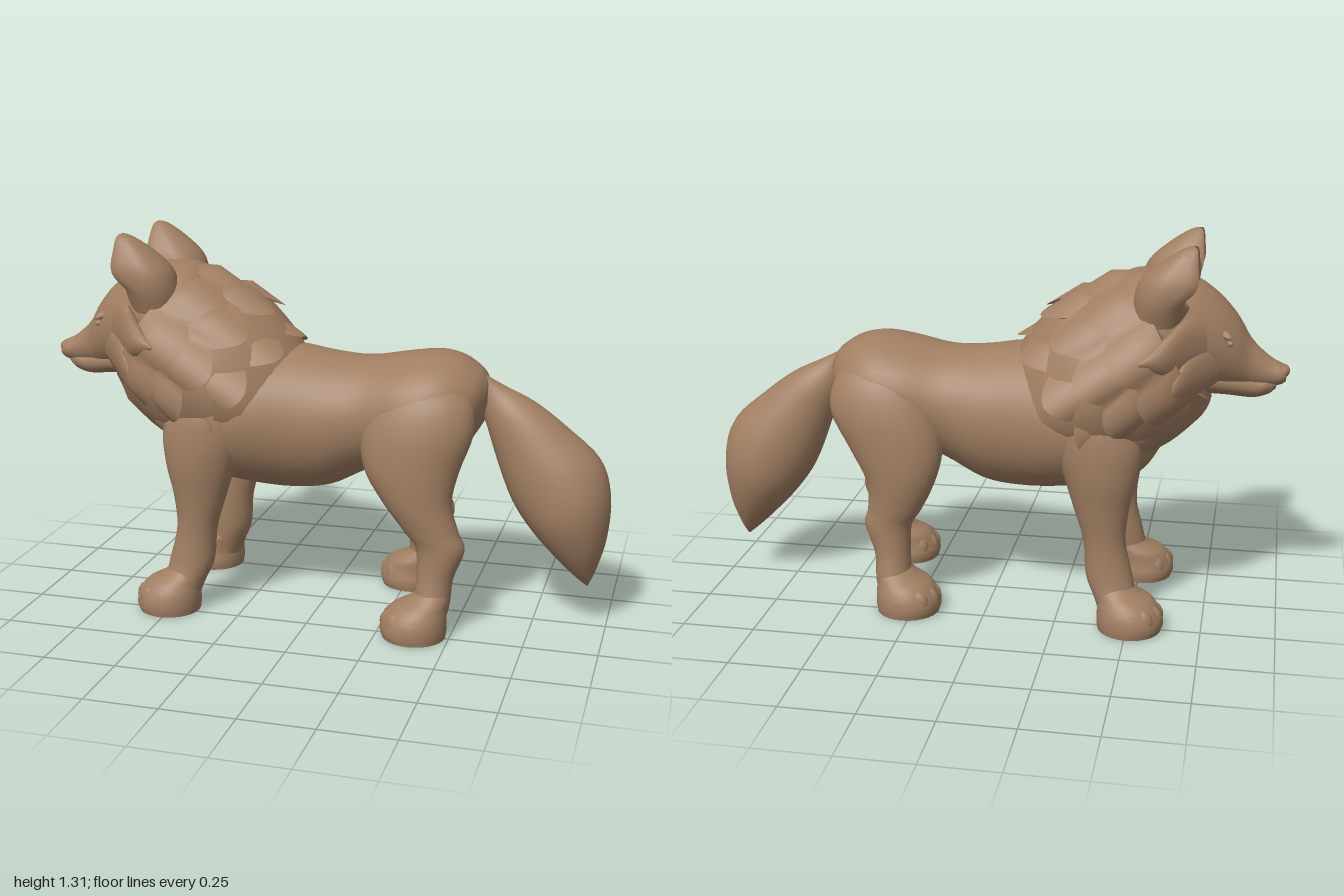
import * as THREE from 'three';
import { toCreasedNormals } from 'three/addons/utils/BufferGeometryUtils.js';

const V = (x, y, z = 0) => new THREE.Vector3(x, y, z);
const UP = V(0, 1), FWD = V(1, 0), BACK = V(-1, 0);
const NECK = V(0.53, 0.85), TAIL = V(0.88, 0.47);
const CENTRE = -0.015; // head and mane centre line in z

// Loft elliptical rings through sections [x, y, z, radius along n, radius along z].
// Sections must advance along n cross z.
function loft(sections, n, { around = 28, steps = 4, warp, crease = 0.9 } = {}) {
  const centres = new THREE.CatmullRomCurve3(sections.map(s => V(s[0], s[1], s[2])), false, 'catmullrom');
  const radii = new THREE.CatmullRomCurve3(sections.map(s => V(s[3], s[4])), false, 'catmullrom');
  const rings = (sections.length - 1) * steps;
  const pos = [], idx = [];
  for (let i = 0; i <= rings; i++) {
    const t = i / rings, c = centres.getPoint(t), r = radii.getPoint(t);
    for (let j = 0; j < around; j++) {
      const a = j / around * Math.PI * 2;
      const p = c.clone().addScaledVector(n, r.x * Math.cos(a));
      p.z += r.y * Math.sin(a);
      if (warp) warp(p, a, t, r);
      pos.push(p.x, p.y, p.z);
      const k = (j + 1) % around, o = i * around;
      if (i < rings) idx.push(o + j, o + k, o + around + j, o + k, o + around + k, o + around + j);
    }
  }
  // End caps
  const first = centres.getPoint(0), last = centres.getPoint(1), m = pos.length / 3;
  pos.push(first.x, first.y, first.z, last.x, last.y, last.z);
  for (let j = 0; j < around; j++) {
    const k = (j + 1) % around, o = rings * around;
    idx.push(m, k, j, m + 1, o + j, o + k);
  }
  const g = new THREE.BufferGeometry();
  g.setAttribute('position', new THREE.Float32BufferAttribute(pos, 3));
  g.setIndex(idx);
  return toCreasedNormals(g, crease);
}

// Narrow the upper half of a ring into an egg shape
const narrowTop = (p, a) => {
  p.z = CENTRE + (p.z - CENTRE) * (1 - 0.22 * Math.max(0, Math.cos(a)));
};

export function createModel() {
  const model = new THREE.Group();
  const fur = new THREE.MeshStandardMaterial({ color: 0xa07e62 });
  fur.name = 'brown fur';
  const add = (name, geometry) => {
    const mesh = new THREE.Mesh(geometry, fur);
    mesh.name = name;
    model.add(mesh);
    return mesh;
  };
  const ball = (name, x, y, z, rx, ry, rz) => {
    const b = add(name, new THREE.SphereGeometry(1, 14, 10));
    b.position.set(x, y, z);
    b.scale.set(rx, ry, rz);
    return b;
  };
  // Place sections on side s, about a centre line at z0
  const side = (sections, s, z0 = 0) => sections.map(([x, y, z, h, w]) => [x, y, z0 + s * z, h, w]);

  // Trunk
  add('body', loft([
    [-0.59, 0.68, -0.01, 0.08, 0.08], [-0.52, 0.66, -0.01, 0.16, 0.18], [-0.4, 0.67, -0.01, 0.215, 0.26],
    [-0.25, 0.68, -0.01, 0.25, 0.27], [-0.1, 0.675, -0.01, 0.255, 0.24], [0.03, 0.675, -0.01, 0.236, 0.225],
    [0.16, 0.705, -0.005, 0.2, 0.21], [0.3, 0.745, 0, 0.183, 0.232], [0.4, 0.755, 0, 0.185, 0.228],
    [0.48, 0.765, 0, 0.16, 0.195], [0.545, 0.785, 0, 0.1, 0.13], [0.575, 0.8, 0, 0.045, 0.05]], UP, { around: 36 }));

  // Neck and chest under the mane
  add('neck', loft([
    [-0.67, 0.95, CENTRE, 0.14, 0.14], [-0.62, 0.94, CENTRE, 0.225, 0.22], [-0.54, 0.915, CENTRE, 0.278, 0.28],
    [-0.42, 0.85, CENTRE, 0.305, 0.31], [-0.28, 0.76, CENTRE, 0.272, 0.29], [-0.15, 0.7, CENTRE, 0.19, 0.225]],
  NECK, { around: 36, warp: narrowTop }));

  // Mane: flared collars with a ragged rear edge
  const axis = V(0.85, -0.53);
  const collars = [[-0.51, 0.92, 0.285, 0.32, 9, 0.09], [-0.41, 0.86, 0.295, 0.335, 11, 0.09],
    [-0.31, 0.79, 0.262, 0.3, 9, 0.09]];
  collars.forEach(([x, y, h, w, teeth, length], c) => {
    const at = (d, k) => [x + axis.x * d, y + axis.y * d, CENTRE, h * k, w * k];
    add('maneCollar' + (c + 1), loft([at(-0.12, 0.86), at(-0.05, 0.97), at(0.02, 1.02), at(0, 0.9)], NECK, {
      around: teeth * 8, steps: 1,
      warp: (p, a, t) => {
        narrowTop(p, a);
        if (t < 0.2 || t > 0.9) return;
        const tooth = Math.abs(Math.cos(a * teeth / 2 + c * Math.PI / 2));
        const size = (0.6 + 0.4 * Math.cos(a)) * (t > 0.5 ? 1 : 0.1);
        p.addScaledVector(axis, tooth * length * size);
        const out = (tooth - 0.5) * 0.03 - (t > 0.5 ? tooth * 0.02 * Math.max(0, Math.cos(a)) : 0);
        p.addScaledVector(NECK, Math.cos(a) * out);
        p.z += Math.sin(a) * out;
      },
    }));
  });

  // Head and muzzle
  add('head', loft([
    [-0.988, 0.862, CENTRE, 0.025, 0.035], [-0.97, 0.862, CENTRE, 0.036, 0.048], [-0.93, 0.868, CENTRE, 0.052, 0.052],
    [-0.87, 0.894, CENTRE, 0.082, 0.068], [-0.82, 0.933, CENTRE, 0.123, 0.108], [-0.75, 0.97, CENTRE, 0.16, 0.155],
    [-0.66, 1.0, CENTRE, 0.184, 0.2], [-0.55, 1.02, CENTRE, 0.18, 0.225], [-0.45, 1.02, CENTRE, 0.17, 0.2],
    [-0.36, 1.0, CENTRE, 0.1, 0.1]], UP));
  add('lowerJaw', loft([
    [-0.957, 0.832, CENTRE, 0.02, 0.03], [-0.93, 0.826, CENTRE, 0.036, 0.045], [-0.88, 0.821, CENTRE, 0.044, 0.058],
    [-0.8, 0.835, CENTRE, 0.05, 0.088], [-0.7, 0.855, CENTRE, 0.06, 0.13], [-0.62, 0.87, CENTRE, 0.05, 0.13]], UP));
  ball('nose', -0.975, 0.872, CENTRE, 0.025, 0.022, 0.042);

  for (const s of [1, -1]) {
    const tag = s > 0 ? 'left' : 'right';

    // Eyes and brows, mostly sunk into the face
    ball(tag + 'Eye', -0.795, 0.985, CENTRE + s * 0.108, 0.022, 0.011, 0.012).rotation.set(0, s * 0.9, 0);
    ball(tag + 'Brow', -0.775, 1.018, CENTRE + s * 0.104, 0.045, 0.014, 0.018).rotation.set(0, s * 0.8, 0.3);

    // Cheek tufts
    const tufts = [
      [[-0.79, 0.915, 0.08, 0.05, 0.03], [-0.71, 0.905, 0.16, 0.08, 0.045], [-0.645, 0.875, 0.235, 0.06, 0.04], [-0.59, 0.82, 0.285, 0.004, 0.004]],
      [[-0.76, 0.98, 0.1, 0.06, 0.03], [-0.67, 0.98, 0.185, 0.1, 0.05], [-0.6, 0.97, 0.26, 0.065, 0.045], [-0.52, 0.955, 0.32, 0.004, 0.004]]];
    tufts.forEach((t, i) => add(`${tag}CheekTuft${i + 1}`, loft(side(t, s, CENTRE), UP, { around: 12 })));

    // Ears, hollowed towards the front
    add(tag + 'Ear', loft(side([
      [-0.565, 1.05, 0.15, 0.08, 0.075], [-0.58, 1.13, 0.153, 0.095, 0.097], [-0.605, 1.2, 0.157, 0.098, 0.092],
      [-0.635, 1.26, 0.163, 0.063, 0.062], [-0.662, 1.3, 0.168, 0.03, 0.031], [-0.672, 1.312, 0.168, 0.012, 0.014]], s, CENTRE), BACK, {
      around: 32,
      warp: (p, a, t, r) => {
        const c = Math.cos(a), k = THREE.MathUtils.smoothstep(t, 0.15, 0.35);
        if (c > 0) p.x += k * r.x * (c - 2.6 * c * (1 - 1.2 * c * c));
      },
    }));

    // Legs
    add(tag + 'FrontLeg', loft(side([
      [-0.34, 0.85, 0.12, 0.06, 0.05], [-0.36, 0.75, 0.172, 0.13, 0.095], [-0.38, 0.65, 0.193, 0.15, 0.1],
      [-0.395, 0.53, 0.203, 0.125, 0.09], [-0.4, 0.42, 0.205, 0.095, 0.072], [-0.413, 0.3, 0.202, 0.072, 0.064],
      [-0.432, 0.18, 0.208, 0.08, 0.065], [-0.455, 0.1, 0.222, 0.07, 0.07], [-0.46, 0.03, 0.235, 0.05, 0.07]], s, -0.01), FWD));

    // The right hind leg steps further forward
    const step = s > 0 ? 0 : -0.11;
    const hind = [
      [0.39, 0.89, 0.09, 0.06, 0.045], [0.38, 0.81, 0.128, 0.155, 0.094], [0.362, 0.7, 0.16, 0.19, 0.104],
      [0.347, 0.57, 0.18, 0.163, 0.098], [0.37, 0.46, 0.195, 0.12, 0.082], [0.422, 0.36, 0.198, 0.094, 0.068],
      [0.455, 0.3, 0.198, 0.083, 0.064], [0.44, 0.2, 0.205, 0.063, 0.063], [0.432, 0.1, 0.222, 0.062, 0.07],
      [0.42, 0.03, 0.235, 0.05, 0.07]];
    add(tag + 'HindLeg', loft(side(hind, s).map(p =>
      [p[0] + step * (1 - THREE.MathUtils.smoothstep(p[1], 0.28, 0.72)), ...p.slice(1)]), FWD));

    // Paws with toes
    for (const [name, x, z] of [['FrontPaw', -0.51, s * 0.24 - 0.01], ['HindPaw', 0.377 + step, s > 0 ? 0.247 : -0.235]]) {
      add(tag + name, loft([
        [x + 0.065, 0.165, z - s * 0.03, 0.05, 0.05], [x + 0.045, 0.13, z - s * 0.02, 0.072, 0.073],
        [x + 0.018, 0.105, z - s * 0.01, 0.094, 0.09], [x + 0.005, 0.07, z, 0.108, 0.102],
        [x, 0.03, z, 0.114, 0.11], [x + 0.002, 0, z, 0.108, 0.106]], FWD));
      for (let i = 0; i < 4; i++) {
        const o = (i - 1.5) / 1.5;
        ball(`${tag}${name}Toe${i + 1}`, x - 0.075 + 0.03 * o * o, 0.05, z + o * 0.063, 0.04, 0.046, 0.026);
      }
    }
  }

  // Tail
  add('tail', loft([
    [0.53, 0.85, 0, 0.03, 0.03], [0.585, 0.8, 0, 0.055, 0.04], [0.65, 0.735, 0, 0.092, 0.075],
    [0.725, 0.635, 0, 0.132, 0.107], [0.81, 0.515, 0, 0.166, 0.137], [0.867, 0.4, 0, 0.147, 0.143],
    [0.908, 0.28, 0, 0.093, 0.1], [0.927, 0.19, 0, 0.037, 0.043], [0.932, 0.145, 0, 0.003, 0.003]], TAIL));

  return model;
}
